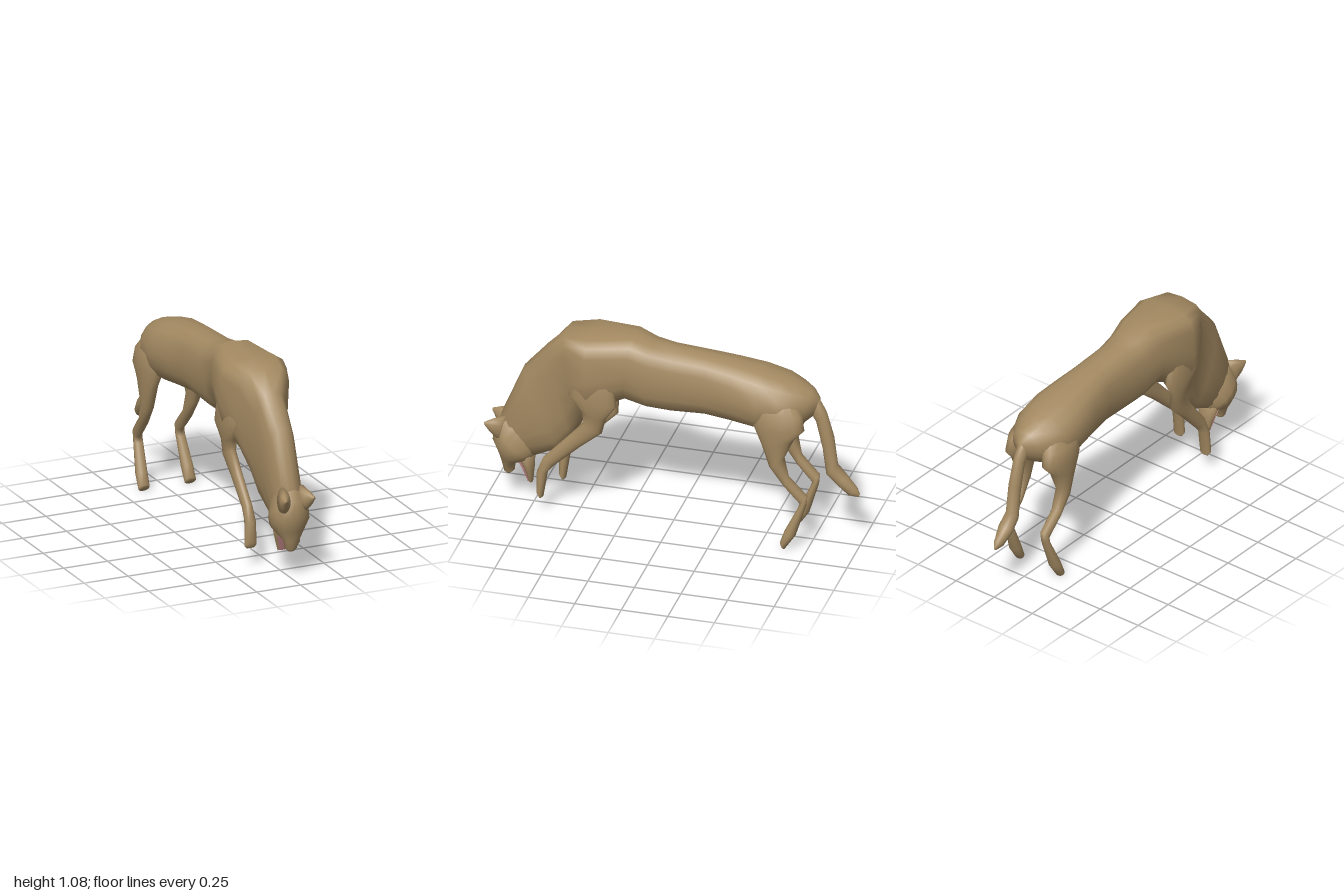
import * as THREE from 'three';

const fur = new THREE.MeshStandardMaterial({ color: 0xa48a62 });
fur.name = 'tan fur';
const pink = new THREE.MeshStandardMaterial({ color: 0xc08688 });
pink.name = 'pink mouth';

const SIDES = 16;

// Skin a row of rings. Each section is
// [front/top y, z, back/bottom y, z, half width, centre x, upper roundness, lower roundness]
// (roundness 1 = ellipse, less = boxier)
function loft(name, sections, material = fur) {
  const pos = [], index = [];
  for (const [fy, fz, by, bz, w, xc = 0, upper = 1, lower = upper] of sections) {
    for (let j = 0; j < SIDES; j++) {
      const t = (j / SIDES) * Math.PI * 2;
      const s = Math.sin(t), c = Math.cos(t);
      const p = c > 0 ? upper : lower;
      const u = Math.sign(s) * Math.abs(s) ** p;
      const v = Math.abs(c) < 1e-6 ? 0 : Math.sign(c) * Math.abs(c) ** p;
      pos.push(xc + w * u, (fy + by) / 2 + (v * (fy - by)) / 2, (fz + bz) / 2 + (v * (fz - bz)) / 2);
    }
  }
  const last = sections.length - 1;
  for (let i = 0; i < last; i++) {
    for (let j = 0; j < SIDES; j++) {
      const k = (j + 1) % SIDES;
      const a = i * SIDES + j, b = i * SIDES + k, c = b + SIDES, d = a + SIDES;
      index.push(a, d, b, b, d, c);
    }
  }
  // end caps
  for (const end of [0, last]) {
    const [fy, fz, by, bz, , xc = 0] = sections[end];
    const centre = pos.length / 3;
    pos.push(xc, (fy + by) / 2, (fz + bz) / 2);
    for (let j = 0; j < SIDES; j++) {
      const a = end * SIDES + j, b = end * SIDES + ((j + 1) % SIDES);
      if (end === 0) index.push(centre, a, b);
      else index.push(centre, b, a);
    }
  }
  const geometry = new THREE.BufferGeometry();
  geometry.setAttribute('position', new THREE.Float32BufferAttribute(pos, 3));
  geometry.setIndex(index);
  geometry.computeVertexNormals();
  const mesh = new THREE.Mesh(geometry, material);
  mesh.name = name;
  return mesh;
}

function hindLeg(side) {
  const x = (v) => v * side;
  return loft(side > 0 ? 'leftHindLeg' : 'rightHindLeg', [
    [0.88, -0.50, 0.87, -0.66, 0.04, x(0.085)],
    [0.80, -0.45, 0.78, -0.72, 0.067, x(0.11)],
    [0.70, -0.46, 0.70, -0.735, 0.063, x(0.12)],
    [0.60, -0.505, 0.64, -0.68, 0.047, x(0.128)],
    [0.47, -0.55, 0.53, -0.63, 0.036, x(0.13)],
    [0.36, -0.63, 0.42, -0.65, 0.03, x(0.125)],
    [0.27, -0.71, 0.315, -0.75, 0.026, x(0.12)],
    [0.24, -0.70, 0.26, -0.745, 0.026, x(0.12)],
    [0.10, -0.63, 0.08, -0.69, 0.032, x(0.13)],
    [0.04, -0.61, 0.00, -0.635, 0.032, x(0.132)],
  ]);
}

// reach moves the lower leg forward
function frontLeg(side, reach) {
  const x = (v) => v * side;
  return loft(side > 0 ? 'leftFrontLeg' : 'rightFrontLeg', [
    [0.90, 0.50, 0.88, 0.30, 0.04, x(0.13)],
    [0.74, 0.53, 0.70, 0.27, 0.046, x(0.135)],
    [0.64, 0.46, 0.61, 0.33, 0.035, x(0.125)],
    [0.57, 0.43 + reach * 0.4, 0.52, 0.33 + reach * 0.4, 0.031, x(0.116)],
    [0.47, 0.50 + reach * 0.7, 0.42, 0.43 + reach * 0.7, 0.027, x(0.112)],
    [0.33, 0.61 + reach, 0.29, 0.55 + reach, 0.026, x(0.108)],
    [0.24, 0.645 + reach, 0.25, 0.585 + reach, 0.03, x(0.108)],
    [0.13, 0.645 + reach, 0.10, 0.61 + reach, 0.034, x(0.11)],
    [0.10, 0.632 + reach, 0.095, 0.615 + reach, 0.022, x(0.11)],
  ]);
}

function ear(side) {
  return loft(side > 0 ? 'leftEar' : 'rightEar', [
    [0.51, 0.89, 0.36, 0.92, 0.04, 0.05 * side],
    [0.49, 0.95, 0.41, 0.965, 0.028, 0.066 * side],
    [0.47, 0.997, 0.455, 0.992, 0.008, 0.08 * side],
  ]);
}

export function createModel() {
  const model = new THREE.Group();
  model.name = 'stoopingAnimal';

  // rump, barrel, shoulders and lowered neck
  model.add(loft('body', [
    [0.84, -0.785, 0.74, -0.76, 0.03],
    [0.885, -0.745, 0.70, -0.715, 0.09],
    [0.92, -0.68, 0.67, -0.66, 0.135],
    [0.95, -0.60, 0.655, -0.59, 0.168, 0, 0.95],
    [0.98, -0.48, 0.64, -0.48, 0.174, 0, 0.9],
    [1.0, -0.34, 0.66, -0.33, 0.148, 0, 0.85],
    [1.015, -0.20, 0.675, -0.18, 0.125, 0, 0.8],
    [1.03, 0.00, 0.665, 0.00, 0.122, 0, 0.8],
    [1.045, 0.10, 0.675, 0.13, 0.132, 0, 0.75],
    [1.082, 0.20, 0.70, 0.25, 0.148, 0, 0.7, 0.9],
    [1.065, 0.43, 0.61, 0.42, 0.196, 0, 0.5, 0.95],
    [1.05, 0.57, 0.53, 0.48, 0.15, 0, 0.5, 0.95],
    [0.95, 0.67, 0.43, 0.535, 0.094, 0, 0.75],
    [0.80, 0.80, 0.34, 0.60, 0.088, 0, 0.85],
    [0.50, 0.925, 0.275, 0.74, 0.08],
  ]));

  // head hanging down, muzzle pointing at the ground
  model.add(loft('head', [
    [0.56, 0.89, 0.34, 0.70, 0.07],
    [0.44, 0.95, 0.27, 0.75, 0.105],
    [0.36, 0.97, 0.25, 0.765, 0.102],
    [0.27, 0.935, 0.235, 0.81, 0.073],
    [0.21, 0.92, 0.22, 0.85, 0.045],
    [0.165, 0.91, 0.17, 0.855, 0.032],
    [0.15, 0.895, 0.155, 0.87, 0.018],
  ]));
  model.add(loft('lowerJaw', [
    [0.29, 0.85, 0.30, 0.745, 0.07],
    [0.20, 0.80, 0.19, 0.75, 0.043],
    [0.12, 0.775, 0.115, 0.757, 0.022],
  ]));
  model.add(loft('tongue', [
    [0.24, 0.825, 0.24, 0.816, 0.045],
    [0.20, 0.807, 0.20, 0.798, 0.038],
    [0.122, 0.782, 0.122, 0.773, 0.02],
  ], pink));

  // tail bent away from the rump
  model.add(loft('tail', [
    [0.78, -0.72, 0.86, -0.765, 0.034],
    [0.70, -0.765, 0.76, -0.82, 0.03],
    [0.55, -0.80, 0.62, -0.86, 0.033],
    [0.40, -0.82, 0.46, -0.88, 0.036],
    [0.345, -0.88, 0.40, -0.93, 0.042],
    [0.29, -0.94, 0.335, -0.985, 0.025],
    [0.285, -0.99, 0.30, -1.0, 0.006],
  ]));

  for (const side of [-1, 1]) {
    model.add(ear(side), hindLeg(side), frontLeg(side, side > 0 ? 0.06 : 0));
  }
  return model;
}
